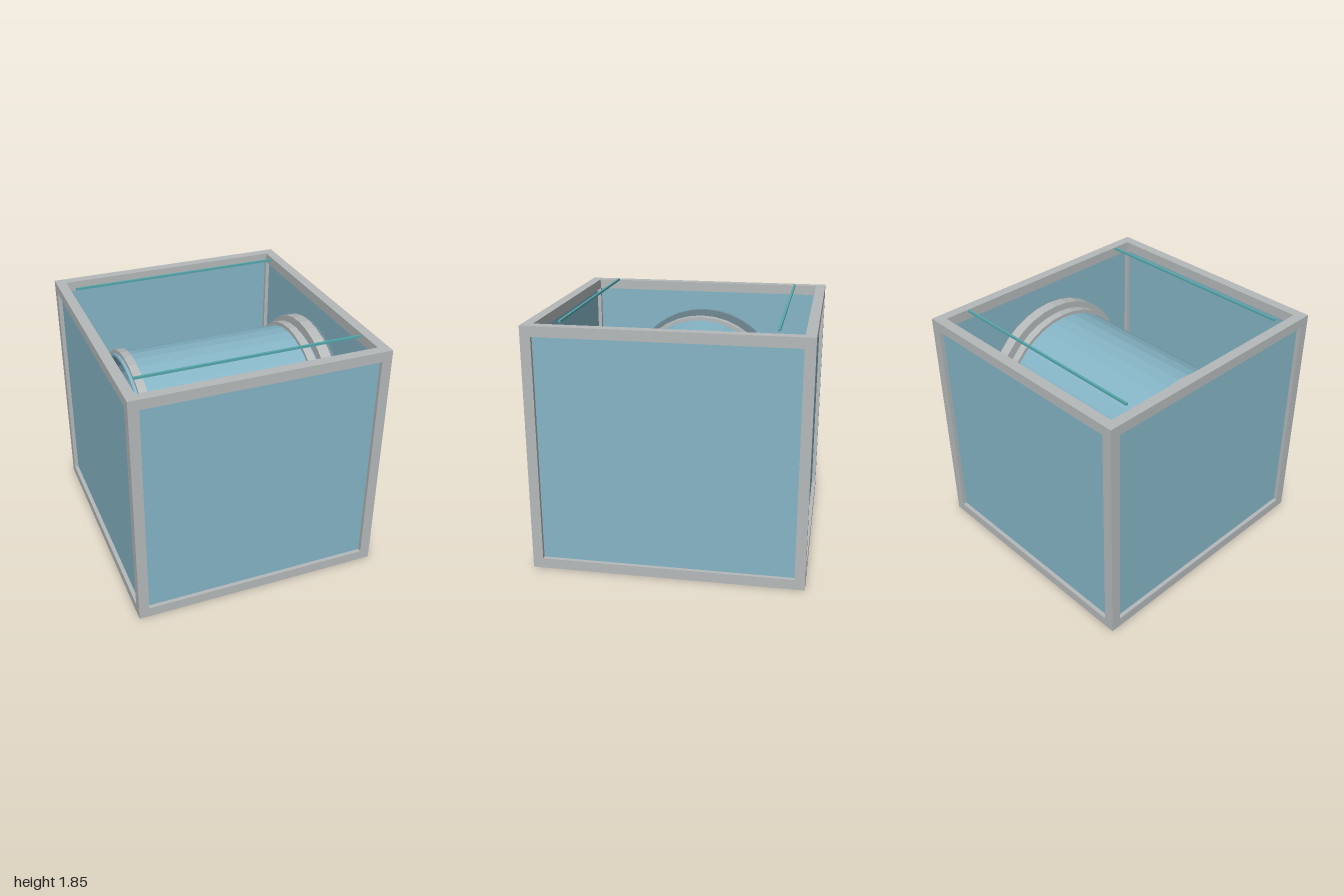
import * as THREE from 'three';

export function createModel() {
  const model = new THREE.Group();
  const mat = (name, color, flatShading = false) => {
    const m = new THREE.MeshStandardMaterial({ color, flatShading });
    m.name = name;
    return m;
  };
  const frameGrey = mat('frame grey', 0xb6babb, true);
  const paleBlue = mat('pale blue', 0x86b5c6, true);
  const slate = mat('slate', 0x728a95, true);
  const teal = mat('teal', 0x55a8ad, true);

  const W = 0.94, H = 1.83, D = 1, BAR = 0.076;

  const add = (name, geometry, material, x, y, z, parent = model) => {
    const mesh = new THREE.Mesh(geometry, material);
    mesh.name = name;
    mesh.position.set(x, y, z);
    parent.add(mesh);
    return mesh;
  };
  const box = (name, material, w, h, d, x, y, z) =>
    add(name, new THREE.BoxGeometry(w, h, d), material, x, y, z);

  // Frame: four posts, with rails between them at top and bottom
  const px = W - BAR / 2, pz = D - BAR / 2;
  for (const sx of [-1, 1]) {
    for (const sz of [-1, 1]) box('cornerPost', frameGrey, BAR, H, BAR, sx * px, H / 2, sz * pz);
  }
  for (const y of [BAR / 2, H - BAR / 2]) {
    for (const s of [-1, 1]) {
      box('crossRail', frameGrey, 2 * (W - BAR), BAR, BAR, 0, y, s * pz);
      box('sideRail', frameGrey, BAR, BAR, 2 * (D - BAR), s * px, y, 0);
    }
  }

  // Side panels, recessed in the frame; top and bottom stay open
  for (const s of [-1, 1]) {
    box('widePanel', paleBlue, 2 * (W - BAR), H - 2 * BAR, 0.016, 0, H / 2, s * pz);
    box('sidePanel', paleBlue, 0.016, H - 2 * BAR, 2 * (D - BAR), s * px, H / 2, 0);
    box('topRod', teal, 1.65, 0.016, 0.016, 0, 1.842, s * 0.75);
  }

  // Drum assembly lying along x
  const drum = new THREE.Group();
  drum.name = 'drumAssembly';
  drum.position.y = 0.97;
  model.add(drum);

  // Hollow ring from x0 to x1
  const ring = (name, material, inner, outer, x0, x1) => {
    const profile = [[inner, x0], [outer, x0], [outer, x1], [inner, x1], [inner, x0]]
      .map(([r, x]) => new THREE.Vector2(r, x));
    const geometry = new THREE.LatheGeometry(profile, 36).rotateZ(-Math.PI / 2);
    return add(name, geometry, material, 0, 0, 0, drum);
  };
  ring('drumShell', paleBlue, 0.57, 0.59, -0.7, 0.73);
  ring('leftBand', frameGrey, 0.585, 0.617, 0.645, 0.708);
  ring('rightBand', frameGrey, 0.585, 0.617, -0.678, -0.614);
  ring('driveRing', frameGrey, 0.57, 0.655, 0.735, 0.82);
  ring('leftFlange', slate, 0.56, 0.645, 0.82, 0.846);
  ring('rightFlange', slate, 0.56, 0.645, -0.812, -0.778);

  // Ten bolts around each flange
  const boltGeometry = new THREE.CylinderGeometry(0.016, 0.016, 0.04, 8).rotateZ(Math.PI / 2);
  for (const x of [-0.795, 0.833]) {
    for (let i = 0; i < 10; i++) {
      const a = (i + 0.5) * Math.PI / 5;
      add('flangeBolt', boltGeometry, slate, x, 0.624 * Math.cos(a), 0.624 * Math.sin(a), drum);
    }
  }
  return model;
}
